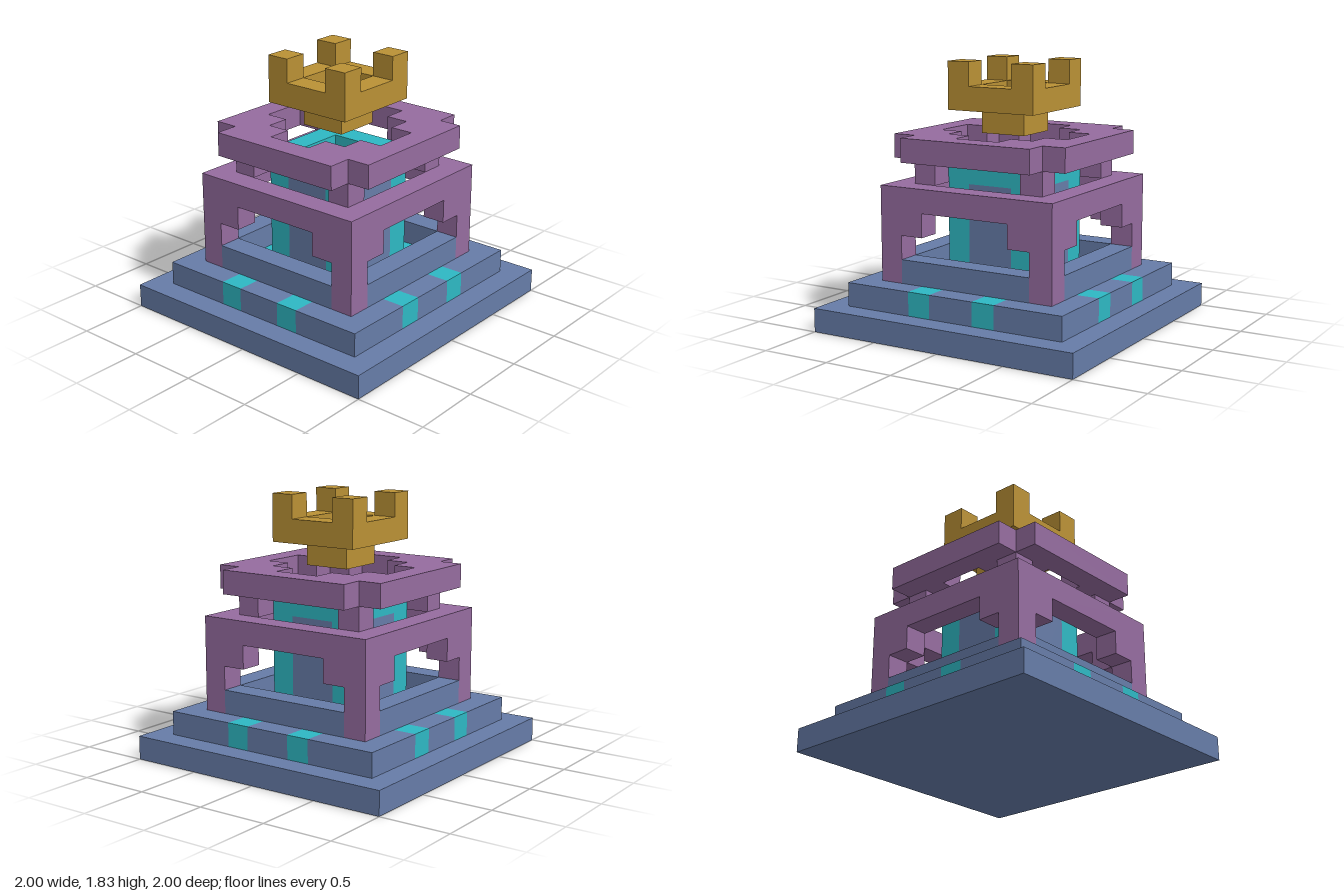
import * as THREE from 'three';

const U = 1 / 6; // one block

const paint = (name, color) => {
  const m = new THREE.MeshStandardMaterial({ color });
  m.name = name;
  return m;
};

export function createModel() {
  const model = new THREE.Group();
  model.name = 'shrineTower';
  const blue = paint('slateBlue', 0x667ca8);
  const teal = paint('teal', 0x2eb8c3);
  const purple = paint('purple', 0x956c9f);
  const gold = paint('gold', 0xba9135);

  const add = (name, geometry, material, parent = model) => {
    const mesh = new THREE.Mesh(geometry, material);
    mesh.name = name;
    parent.add(mesh);
    return mesh;
  };
  // box given by its limits in blocks
  const box = (name, mat, x0, x1, y0, y1, z0, z1, parent) => {
    const g = new THREE.BoxGeometry((x1 - x0) * U, (y1 - y0) * U, (z1 - z0) * U);
    g.translate((x0 + x1) * U / 2, (y0 + y1) * U / 2, (z0 + z1) * U / 2);
    return add(name, g, mat, parent);
  };
  const points = list => list.map(([x, y]) => new THREE.Vector2(x * U, y * U));
  const square = r => [[-r, -r], [r, -r], [r, r], [-r, r]];
  // plan outline with an opening, raised one block from y0
  const slab = (name, mat, outline, hole, y0) => {
    const s = new THREE.Shape(points(outline));
    s.holes.push(new THREE.Path(points(hole)));
    const g = new THREE.ExtrudeGeometry(s, { depth: U, bevelEnabled: false });
    g.rotateX(-Math.PI / 2).translate(0, y0 * U, 0);
    return add(name, g, mat);
  };

  // stepped base, the second step crossed by teal bands
  box('baseStep', blue, -6, 6, 0, 1, -6, 6);
  const cuts = [-5, -2, -1, 1, 2, 5];
  for (let i = 0; i < 5; i++) {
    for (let j = 0; j < 5; j++) {
      const band = i % 2 || j % 2;
      box(band ? 'stepBand' : 'step', band ? teal : blue, cuts[i], cuts[i + 1], 1, 2, cuts[j], cuts[j + 1]);
    }
  }

  // four identical sides: arch, low wall, core panel and corner posts
  const arch = new THREE.Shape(points([
    [-4, 2], [-3, 2], [-3, 4], [-2, 4], [-2, 5], [2, 5], [2, 4], [3, 4], [3, 6], [-4, 6]]));
  for (let k = 0; k < 4; k++) {
    const side = new THREE.Group();
    side.name = 'side';
    side.rotation.y = k * Math.PI / 2;
    const g = new THREE.ExtrudeGeometry(arch, { depth: U, bevelEnabled: false });
    g.translate(0, 0, 3 * U);
    add('archWall', g, purple, side);
    box('lowWall', blue, -3, 3, 2, 3, 3, 4, side);
    box('corePanel', blue, -1, 1, 2, 6, 1, 2, side);
    box('corePillar', teal, 1, 2, 2, 6, 1, 2, side);
    box('roofPost', purple, 2, 3, 6, 7, 2, 3, side);
    box('crownPoint', gold, 1, 2, 10, 11, 1, 2, side);
    model.add(side);
  }
  box('coreCentre', blue, -1, 1, 2, 6, -1, 1);
  slab('coreRim', teal, square(2), square(1), 6);

  // roof with notched corners and a stepped opening
  slab('roof', purple,
    [[-3, -4], [3, -4], [3, -3], [4, -3], [4, 3], [3, 3], [3, 4], [-3, 4], [-3, 3], [-4, 3], [-4, -3], [-3, -3]],
    [[-1, -3], [1, -3], [1, -2], [2, -2], [2, -1], [3, -1], [3, 1], [2, 1], [2, 2], [1, 2],
      [1, 3], [-1, 3], [-1, 2], [-2, 2], [-2, 1], [-3, 1], [-3, -1], [-2, -1], [-2, -2], [-1, -2]], 7);

  // crown
  box('crownStem', gold, -1, 1, 8, 9, -1, 1);
  slab('crownRing', gold, square(2), square(1), 9);

  return model;
}
